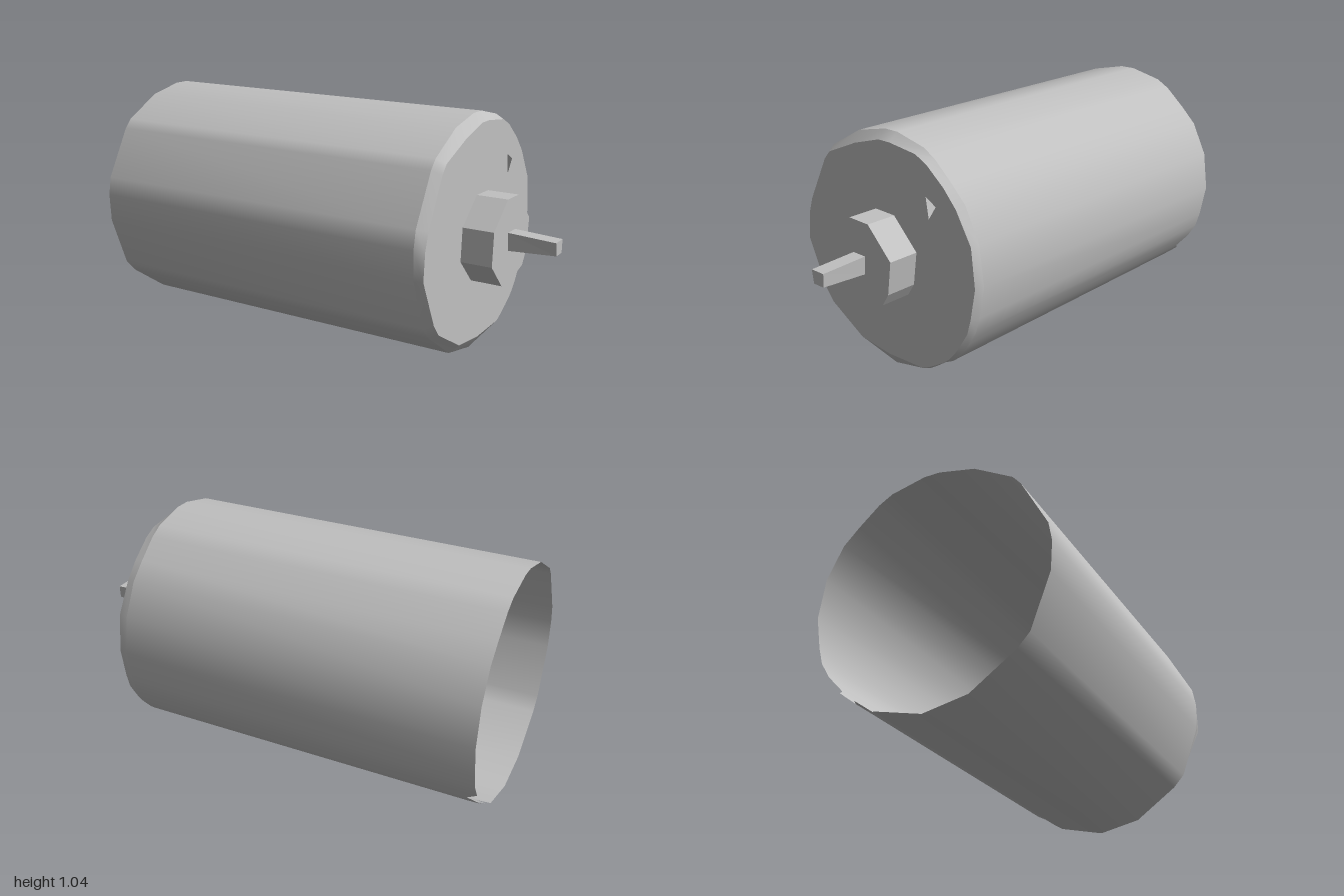
import * as THREE from 'three';

// Cross-section points are [u, v], counter-clockwise: u runs toward -z, v is height.
const CY = 0.52;

// Can outline with, per point, the inward scale of the cap edge and the notch depth of the open rim.
const CAN = [
  [-0.02, 1.04, 0.93, 0], [-0.18, 1.005, 0.91, 0], [-0.35, 0.91, 0.95, 0], [-0.385, 0.87, 0.95, 0],
  [-0.5, 0.66, 0.94, 0], [-0.515, 0.58, 0.96, 0], [-0.51, 0.455, 0.99, 0], [-0.43, 0.23, 0.95, 0],
  [-0.38, 0.175, 0.96, 0], [-0.19, 0.04, 0.92, 0], [0, 0, 0.89, 0], [0.21, 0.05, 0.97, 0],
  [0.25, 0.075, 0.98, 0.05], [0.3, 0.11, 0.99, 0], [0.34, 0.13, 0.98, 0.06], [0.37, 0.155, 0.98, 0],
  [0.4, 0.19, 0.98, 0.05], [0.43, 0.235, 0.98, 0], [0.47, 0.3, 0.98, 0], [0.49, 0.37, 0.98, 0],
  [0.515, 0.51, 0.98, 0], [0.49, 0.68, 0.99, 0], [0.42, 0.82, 0.97, 0], [0.35, 0.89, 0.98, 0],
  [0.26, 0.97, 0.97, 0], [0.2, 1.005, 0.96, 0], [0.05, 1.04, 0.93, 0],
];
const BOSS = [
  [-0.05, 0.705], [-0.175, 0.595], [-0.185, 0.45], [-0.08, 0.34],
  [0, 0.335], [0.13, 0.375], [0.165, 0.43], [0.185, 0.575], [0.06, 0.702],
];
const HOLE = [[0.245, 0.825], [0.3, 0.795], [0.26, 0.735]];

// Band between two closed rings of [u, v, w] points
function loft(a, b) {
  const n = a.length, index = [];
  for (let i = 0; i < n; i++) {
    const j = (i + 1) % n;
    index.push(i, j, n + j, i, n + j, n + i);
  }
  const g = new THREE.BufferGeometry();
  g.setAttribute('position', new THREE.Float32BufferAttribute([...a, ...b].flat(), 3));
  g.setIndex(index);
  g.computeVertexNormals();
  return g;
}

const outline = (pts) => pts.map(([u, v]) => new THREE.Vector2(u, v));
const at = (pts, w) => pts.map(([u, v]) => [u, v, w]);

export function createModel() {
  const metal = new THREE.MeshStandardMaterial({ color: 0xc0c0c0, side: THREE.DoubleSide });
  metal.name = 'grey metal';
  const model = new THREE.Group();
  model.name = 'motor';
  const body = new THREE.Group();
  body.name = 'motorBody';
  body.rotation.y = Math.PI / 2; // local z becomes the long x axis
  model.add(body);

  const add = (name, geometry) => {
    const mesh = new THREE.Mesh(geometry, metal);
    mesh.name = name;
    body.add(mesh);
  };

  // Open can with a ragged patch on its rim
  add('can', loft(CAN.map(([u, v, , notch]) => [u, v, -1 + notch]), at(CAN, 0.61)));

  // Bevel leading to the flat cap
  const capEdge = CAN.map(([u, v, s]) => [u * s, CY + (v - CY) * s]);
  add('bevel', loft(at(CAN, 0.61), at(capEdge, 0.65)));

  // Cap with a three-sided hole
  const capShape = new THREE.Shape(outline(capEdge));
  capShape.holes.push(new THREE.Path(outline(HOLE)));
  add('cap', new THREE.ShapeGeometry(capShape).translate(0, 0, 0.65));

  // Faceted bearing boss
  add('boss', new THREE.ExtrudeGeometry(new THREE.Shape(outline(BOSS)), { depth: 0.14, bevelEnabled: false })
    .translate(0, 0, 0.65));

  // Tapered four-sided shaft with a closed tip
  const root = [[-0.035, 0.56], [-0.03, 0.48], [0.03, 0.48], [0.035, 0.56]];
  const tip = [[-0.037, 0.55], [-0.028, 0.492], [0.03, 0.492], [0.033, 0.55]];
  add('shaft', loft(at(root, 0.78), at(tip, 1)).toNonIndexed());
  body.children.at(-1).geometry.computeVertexNormals();
  add('shaftTip', new THREE.ShapeGeometry(new THREE.Shape(outline(tip))).translate(0, 0, 1));

  return model;
}
